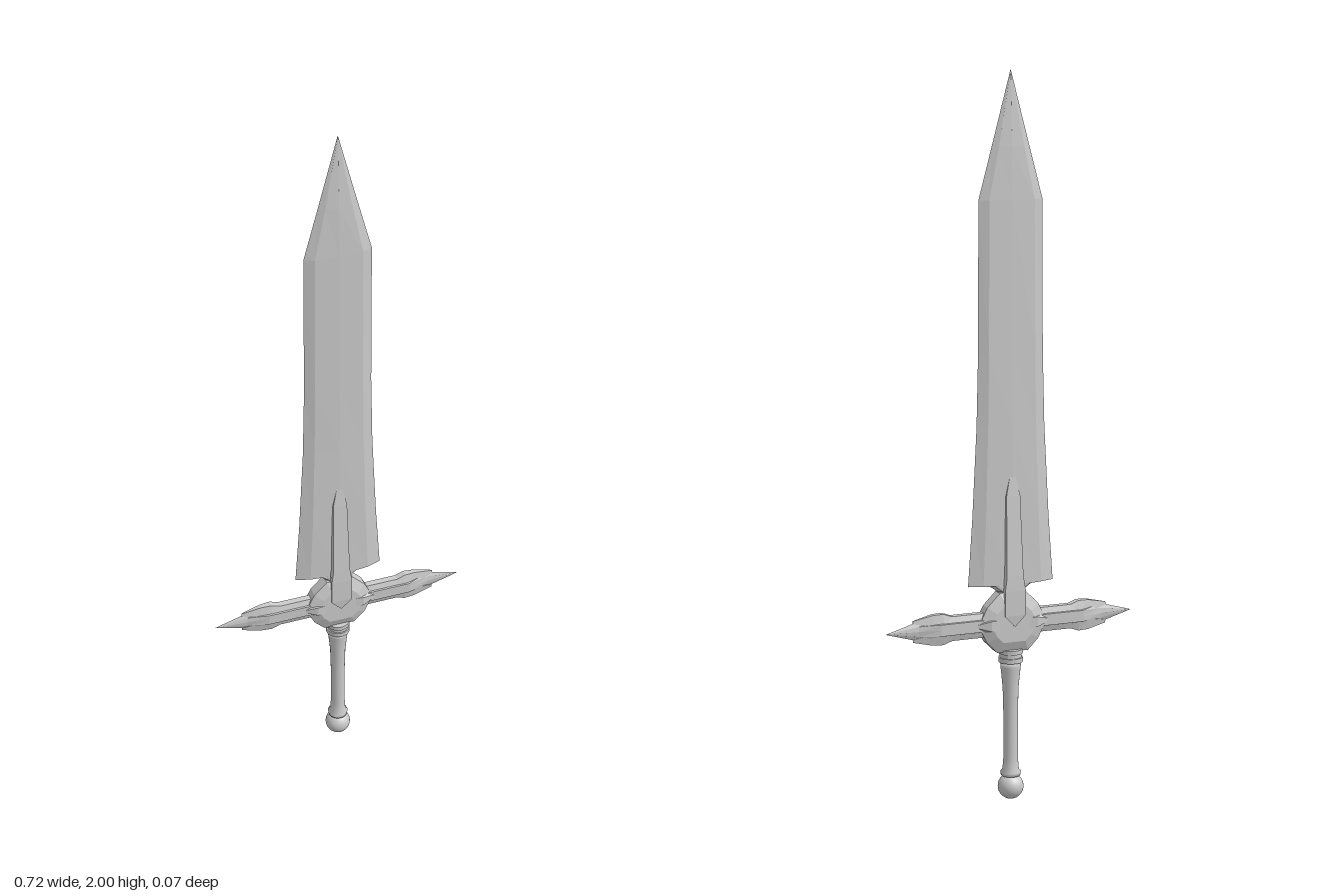
import * as THREE from 'three';

const grey = new THREE.MeshStandardMaterial({ color: 0xcccccc, flatShading: true });
const smooth = new THREE.MeshStandardMaterial({ color: 0xcccccc });

// Skins rings lying across x; each ring is { t, pts: [[y, z], ...] } ordered from y to z
function loft(rings) {
  const pos = [], idx = [], n = rings[0].pts.length;
  for (const r of rings) for (const [a, b] of r.pts) pos.push(r.t, a, b);
  for (let i = 0; i < rings.length - 1; i++) {
    for (let j = 0; j < n; j++) {
      const a = i * n + j, b = i * n + (j + 1) % n;
      idx.push(a, b, a + n, b, b + n, a + n);
    }
  }
  // end caps
  const last = (rings.length - 1) * n;
  for (let j = 1; j < n - 1; j++) idx.push(0, j + 1, j, last, last + j, last + j + 1);
  const g = new THREE.BufferGeometry();
  g.setAttribute('position', new THREE.Float32BufferAttribute(pos, 3));
  g.setIndex(idx);
  const flat = g.toNonIndexed();
  flat.computeVertexNormals();
  return flat;
}

// Eight-sided bladed section: half width w, bevel line at f, depths at bevel and centre
const bladeSection = (t, w, f, zb, zc) => ({
  t, pts: [[w, 0], [f, zb], [0, zc], [-f, zb], [-w, 0], [-f, -zb], [0, -zc], [f, -zb]],
});

// Trapezoid section sitting between two depths
const slab = (t, inner, outer, z0, z1) => ({
  t, pts: [[inner, z0], [outer, z1], [-outer, z1], [-inner, z0]],
});

function addMesh(parent, name, geometry, material = grey) {
  const m = new THREE.Mesh(geometry, material);
  m.name = name;
  parent.add(m);
  return m;
}

export function createModel() {
  const sword = new THREE.Group();
  sword.name = 'sword';

  // Blade, flaring toward the guard
  const blade = loft([
    bladeSection(0.55, 0.03, 0.02, 0.012, 0.014),
    bladeSection(0.595, 0.04, 0.028, 0.014, 0.017),
    bladeSection(0.612, 0.065, 0.05, 0.014, 0.017),
    bladeSection(0.614, 0.125, 0.085, 0.013, 0.017),
    bladeSection(0.8, 0.112, 0.077, 0.013, 0.016),
    bladeSection(1.05, 0.099, 0.07, 0.012, 0.015),
    bladeSection(1.25, 0.094, 0.067, 0.012, 0.014),
    bladeSection(1.66, 0.092, 0.065, 0.011, 0.013),
    bladeSection(1.8, 0.054, 0.036, 0.008, 0.01),
    bladeSection(2, 0.0005, 0.0003, 0.0003, 0.0005),
  ]).rotateZ(Math.PI / 2);
  addMesh(sword, 'blade', blade);

  // Faceted guard hub
  const hubShape = new THREE.Shape([
    [0.045, 0.425], [0.075, 0.455], [0.1, 0.505], [0.075, 0.555], [0.038, 0.592],
    [-0.038, 0.592], [-0.075, 0.555], [-0.1, 0.505], [-0.075, 0.455], [-0.045, 0.425],
  ].map(([x, y]) => new THREE.Vector2(x, y)));
  const hub = new THREE.ExtrudeGeometry(hubShape, {
    depth: 0.032, bevelEnabled: true, bevelThickness: 0.013,
    bevelSize: 0.03, bevelOffset: -0.03, bevelSegments: 1,
  }).translate(0, 0, -0.016);
  addMesh(sword, 'guardHub', hub);

  // Raised wedge running from the hub up each face of the blade
  for (const side of [0, 1]) {
    const wedge = loft([
      slab(0.5, 0.002, 0.002, 0, 0.033),
      slab(0.53, 0.024, 0.03, 0, 0.036),
      slab(0.6, 0.024, 0.03, 0, 0.036),
      slab(0.64, 0.024, 0.024, 0, 0.034),
      slab(0.86, 0.022, 0.02, 0, 0.02),
      slab(0.94, 0.004, 0.003, 0, 0.013),
    ]).rotateZ(Math.PI / 2);
    addMesh(sword, side ? 'backWedge' : 'frontWedge', wedge).rotation.y = side * Math.PI;
  }

  // Crossguard arms: central spike between two flaring prongs
  for (const side of [0, 1]) {
    const arm = new THREE.Group();
    arm.name = side ? 'rightGuardArm' : 'leftGuardArm';
    arm.position.y = 0.505;
    arm.rotation.y = side * Math.PI;
    sword.add(arm);

    addMesh(arm, 'armSpike', loft([
      bladeSection(0.05, 0.022, 0.016, 0.019, 0.019),
      bladeSection(0.21, 0.022, 0.016, 0.019, 0.019),
      bladeSection(0.27, 0.027, 0.014, 0.005, 0.007),
      bladeSection(0.362, 0.0005, 0.0003, 0.0003, 0.0005),
    ]));

    for (const s of [1, -1]) {
      const prong = (t, y0, y1, z) => ({
        t, pts: [[y1, z * 0.55], [y0, z], [y0, -z], [y1, -z * 0.55]],
      });
      addMesh(arm, s > 0 ? 'upperProng' : 'lowerProng', loft([
        prong(0.05, 0.01, 0.034, 0.017),
        prong(0.175, 0.01, 0.034, 0.017),
        prong(0.2, 0.01, 0.043, 0.017),
        prong(0.23, 0.01, 0.042, 0.013),
        prong(0.285, 0.022, 0.03, 0.002),
      ])).rotation.x = s > 0 ? 0 : Math.PI;
    }

    // Angled lugs where the arm meets the hub
    for (const z of [0, 1]) {
      addMesh(arm, z ? 'backLug' : 'frontLug', loft([
        slab(0.045, 0.022, 0.014, 0, 0.029),
        slab(0.068, 0.022, 0.014, 0, 0.031),
        slab(0.105, 0.02, 0.004, 0, 0.018),
      ])).rotation.x = z * Math.PI;
    }
  }

  // Turned grip with flared ends
  const grip = [[0.0, 0.065], [0.027, 0.068], [0.029, 0.078], [0.023, 0.084], [0.02, 0.12],
    [0.02, 0.24], [0.022, 0.32], [0.028, 0.38], [0.029, 0.393], [0.0, 0.395]];
  addMesh(sword, 'grip', new THREE.LatheGeometry(grip.map(([r, y]) => new THREE.Vector2(r, y)), 20), smooth);

  // Stacked collars under the hub
  for (const [y, r, h] of [[0.4, 0.034, 0.013], [0.413, 0.03, 0.014], [0.424, 0.034, 0.012]]) {
    addMesh(sword, 'collar', new THREE.CylinderGeometry(r, r, h, 20)).position.y = y;
  }

  // Ball pommel
  addMesh(sword, 'pommel', new THREE.SphereGeometry(0.036, 24, 16), smooth).position.y = 0.036;

  return sword;
}
